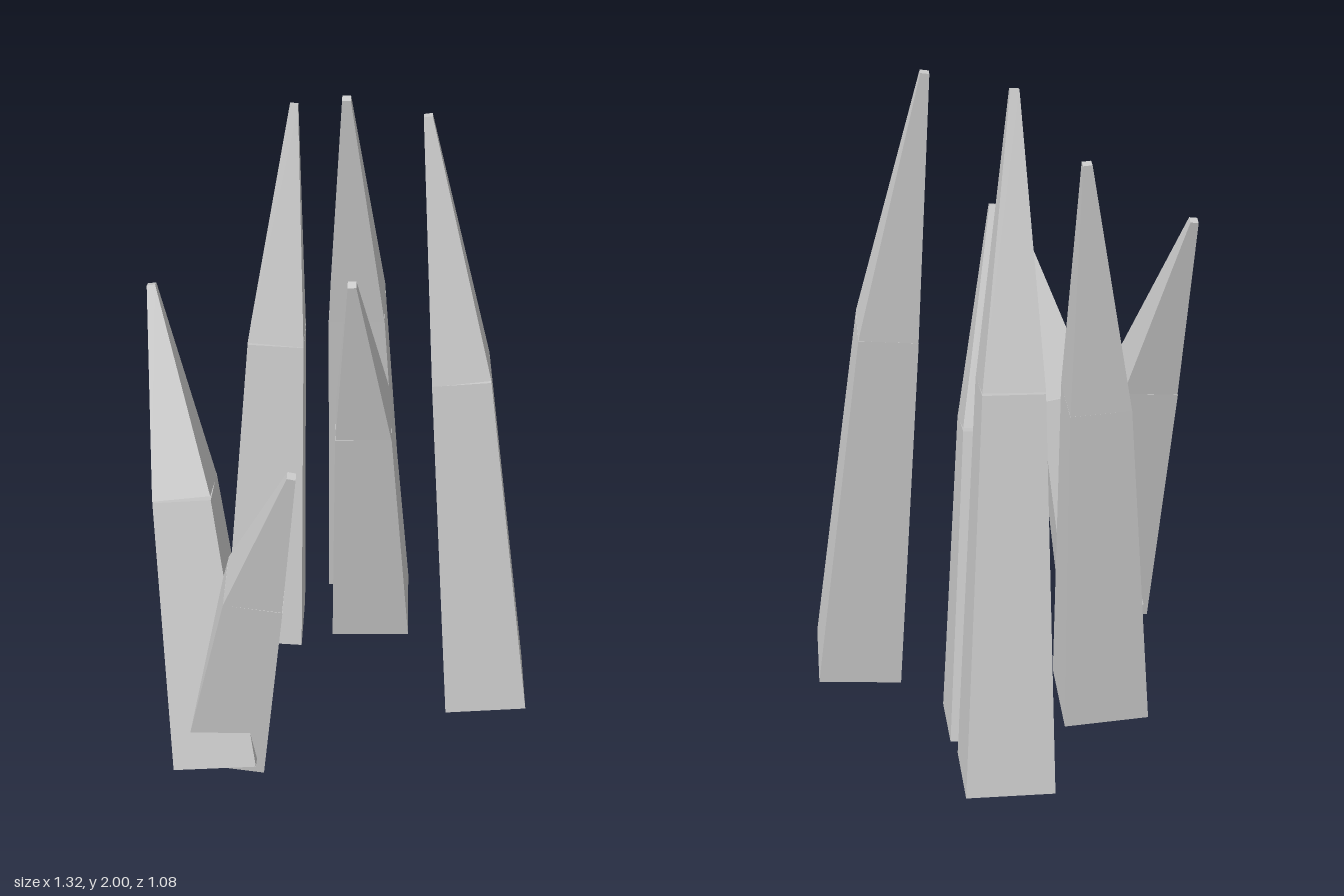
import * as THREE from 'three';

const BASE_R = 0.18, MID_R = 0.12, TIP_R = 0.017;

// Each spike: name, then centres of its base, bend and tip
const SPIKES = [
  ['frontSpike', [0.32, 0.045, 0.36], [0.29, 1.23, 0.217], [0.26, 2.0, 0.08]],
  ['rightSpike', [0.48, 0.045, -0.36], [0.33, 1.215, -0.26], [0.19, 1.985, -0.163]],
  ['innerSpike', [0.32, 0.045, -0.17], [0.168, 0.965, -0.058], [0.012, 1.56, 0.05]],
  ['backSpike', [0.005, 0.045, -0.355], [0.12, 1.135, -0.395], [0.235, 1.855, -0.43]],
  ['leftSpike', [-0.48, 0.045, -0.025], [-0.41, 0.925, -0.208], [-0.34, 1.51, -0.395]],
  ['leftFrontSpike', [-0.43, 0.042, -0.045], [-0.43, 0.77, 0.12], [-0.43, 1.265, 0.287]],
];

const UP = new THREE.Vector3(0, 1, 0);

// Four-sided tapered block running from point a to point b
function taper(name, a, b, ra, rb, material) {
  const dir = b.clone().sub(a);
  const mesh = new THREE.Mesh(new THREE.CylinderGeometry(rb, ra, dir.length(), 4), material);
  mesh.position.copy(a).add(b).multiplyScalar(0.5);
  mesh.quaternion.setFromUnitVectors(UP, dir.normalize());
  mesh.name = name;
  return mesh;
}

export function createModel() {
  const model = new THREE.Group();
  model.name = 'spikeCluster';
  const material = new THREE.MeshStandardMaterial({ color: 0xcccccc, flatShading: true });
  for (const [name, ...points] of SPIKES) {
    const [base, mid, tip] = points.map((p) => new THREE.Vector3(...p));
    const spike = new THREE.Group();
    spike.name = name;
    // Thick shaft, then a sharper point leaning further over
    spike.add(
      taper('shaft', base, mid, BASE_R, MID_R, material),
      taper('point', mid, tip, MID_R, TIP_R, material),
    );
    model.add(spike);
  }
  return model;
}
